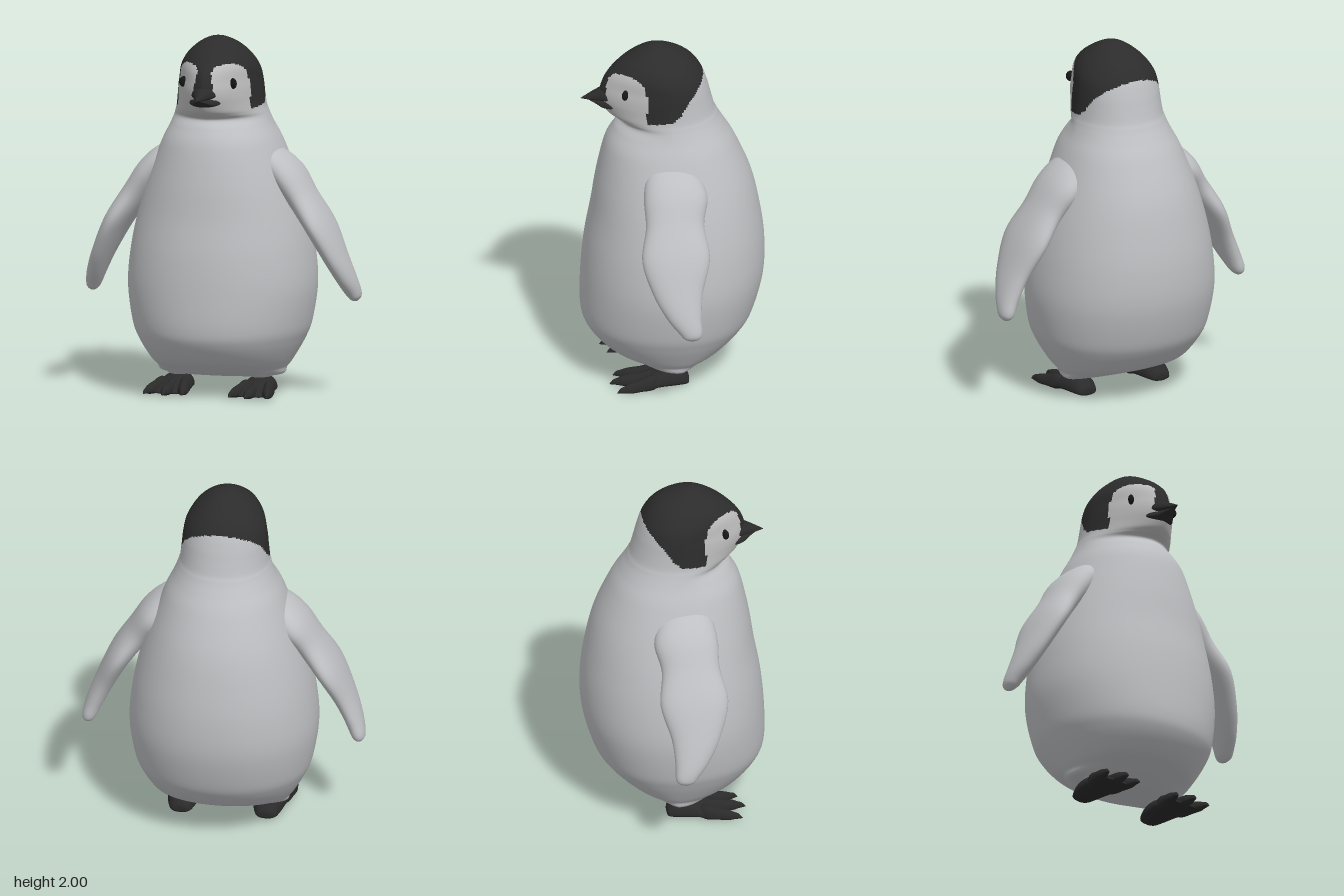
import * as THREE from 'three';

const { smoothstep, mapLinear } = THREE.MathUtils;
const mat = (name, color) => Object.assign(new THREE.MeshStandardMaterial({ color }), { name });

// Catmull-Rom rows of numbers into k finer steps per interval
function refine(rows, k) {
  const out = [];
  for (let i = 0; i < rows.length - 1; i++) {
    const a = rows[Math.max(i - 1, 0)], b = rows[i], c = rows[i + 1], d = rows[Math.min(i + 2, rows.length - 1)];
    for (let s = 0; s < k; s++) {
      const t = s / k;
      out.push(b.map((_, j) => b[j] + 0.5 * t * (c[j] - a[j] + t * (2 * a[j] - 5 * b[j] + 4 * c[j] - d[j]
        + t * (3 * (b[j] - c[j]) + d[j] - a[j])))));
    }
  }
  out.push(rows[rows.length - 1]);
  return out;
}

// Skin closed rings; classify(centre) picks a material index for each quad
function loft(rings, classify) {
  const n = rings[0].length, buckets = [[], [], []];
  for (let i = 0; i < rings.length - 1; i++) {
    for (let j = 0; j < n; j++) {
      const k = (j + 1) % n, a = i * n + j, b = i * n + k, c = a + n, d = b + n;
      const mid = rings[i][j].clone().add(rings[i + 1][k]).multiplyScalar(0.5);
      buckets[classify ? classify(mid) : 0].push(a, b, d, a, d, c);
    }
  }
  const geo = new THREE.BufferGeometry().setFromPoints(rings.flat());
  geo.setIndex(buckets.flat());
  if (classify) {
    let start = 0;
    buckets.forEach((b, m) => { geo.addGroup(start, b.length, m); start += b.length; });
  }
  geo.computeVertexNormals();
  return geo;
}

const ring = (n, fn) => Array.from({ length: n }, (_, j) => {
  const a = j / n * Math.PI * 2;
  return fn(Math.cos(a), Math.sin(a));
});
const pw = (v, e) => Math.sign(v) * Math.abs(v) ** e;

// Sections along z: [z, half width, top y, bottom y], centred on x = centre(z)
const loftZ = (rows, centre = () => 0, n = 24) => loft(refine(rows, 5).map(([z, w, top, bot]) => {
  const mid = bot + 0.3 * (top - bot);
  return ring(n, (c, s) => new THREE.Vector3(centre(z) + w * c, mid + s * (s > 0 ? top - mid : mid - bot), z));
}));

function mirrored(geo) {
  const g = geo.clone();
  g.scale(-1, 1, 1);
  const ix = g.index.array;
  for (let i = 0; i < ix.length; i += 3) [ix[i], ix[i + 1]] = [ix[i + 1], ix[i]];
  g.computeVertexNormals();
  return g;
}

// Body and head: [y, half width, front z, back z]
const BODY = [
  [0.095, 0, 0, 0], [0.1, 0.32, 0.15, -0.06], [0.15, 0.37, 0.3, -0.2], [0.2, 0.405, 0.4, -0.295],
  [0.3, 0.46, 0.485, -0.395], [0.4, 0.497, 0.513, -0.45], [0.6, 0.525, 0.509, -0.502], [0.8, 0.51, 0.49, -0.508],
  [1.0, 0.47, 0.455, -0.482], [1.2, 0.41, 0.425, -0.435], [1.4, 0.335, 0.38, -0.35], [1.5, 0.288, 0.33, -0.292],
  [1.55, 0.268, 0.292, -0.262], [1.58, 0.258, 0.335, -0.247], [1.61, 0.25, 0.372, -0.233], [1.68, 0.242, 0.406, -0.214],
  [1.75, 0.235, 0.405, -0.196], [1.83, 0.218, 0.37, -0.168], [1.9, 0.175, 0.298, -0.122], [1.95, 0.122, 0.222, -0.06],
  [1.98, 0.075, 0.165, 0.01], [1.995, 0.035, 0.125, 0.055], [2, 0, 0.09, 0.09],
];

// The sections turn from round at the trunk to wedge-shaped at the face, and back at the crown
function bodyRing([y, w, zf, zb]) {
  const headward = smoothstep(y, 1.4, 1.66), crown = smoothstep(y, 1.76, 1.98);
  const zc = 0.04 * headward + 0.05 * crown, front = 2.1 - 0.6 * headward + 0.5 * crown;
  return ring(128, (c, s) => {
    const e = 2 / (s < 0 ? front : 2.1);
    return new THREE.Vector3(w * pw(c, e), y, zc + Math.abs(pw(s, e)) * ((s < 0 ? zf : zb) - zc));
  });
}

// Lower edge of the dark hood: [z, y]
const HOOD = [[-0.3, 1.9], [-0.17, 1.83], [-0.07, 1.735], [-0.02, 1.66], [0.02, 1.625], [0.2, 1.6], [0.6, 1.6]];
function hoodEdge(z) {
  const i = Math.max(1, HOOD.findIndex(p => p[0] > z)), [a, b] = [HOOD[i - 1], HOOD[i]];
  return mapLinear(z, a[0], b[0], a[1], b[1]);
}
function plumage({ y, z }) {
  const patch = Math.abs((z - 0.27) / 0.108) ** 2.7 + Math.abs((y - 1.725) / 0.14) ** 2.7 < 1;
  const chin = y < 1.69 && y > 1.56 && z > 0.165;
  if (patch || chin) return 2;
  return y > hoodEdge(z) ? 1 : 0;
}

// Flipper: [centre x, centre y, half thickness, front z, back z]
const FLIPPER = [
  [0.22, 1.4, 0.02, 0.1, -0.05], [0.3, 1.32, 0.07, 0.18, -0.11], [0.39, 1.225, 0.085, 0.205, -0.15],
  [0.48, 1.1, 0.076, 0.205, -0.12], [0.585, 0.945, 0.068, 0.238, -0.14], [0.67, 0.775, 0.058, 0.185, -0.09],
  [0.725, 0.65, 0.05, 0.115, -0.077], [0.755, 0.57, 0.04, 0.05, -0.078], [0.764, 0.538, 0.024, 0.02, -0.06],
  [0.768, 0.525, 0, -0.02, -0.02],
];
function flipperGeometry() {
  const rows = refine(FLIPPER, 6);
  return loft(rows.map(([x, y, th, zf, zb], i) => {
    const p = rows[Math.max(i - 1, 0)], q = rows[Math.min(i + 1, rows.length - 1)];
    const t = new THREE.Vector2(q[0] - p[0], q[1] - p[1]).normalize();
    return ring(36, (c, s) => new THREE.Vector3(x - t.y * th * c, y + t.x * th * c, (zf + zb) / 2 + (zf - zb) / 2 * pw(s, 0.9)));
  }));
}

function ellipsoid(rx, ry, rz, turn, x, y, z) {
  return new THREE.SphereGeometry(1, 32, 20).scale(rx, ry, rz).rotateY(turn).translate(x, y, z);
}

export function createModel() {
  const down = mat('greyDown', 0xbebfc2), hood = mat('blackHood', 0x2c2c2c);
  const face = mat('paleFace', 0xbdbdbd), horn = mat('darkHorn', 0x2a2a2b), eye = mat('eyeBlack', 0x161616);
  const model = new THREE.Group();
  const add = (name, geo, material, parent = model) => {
    const m = new THREE.Mesh(geo, material);
    m.name = name;
    parent.add(m);
  };

  // Body and head in one skin, coloured by plumage region
  add('bodyAndHead', loft(refine(BODY, 10).map(bodyRing), plumage), [down, hood, face]);

  // Beak
  add('upperBeak', loftZ([[0.3, 0.07, 1.75, 1.68], [0.37, 0.07, 1.752, 1.675], [0.42, 0.045, 1.735, 1.675],
    [0.47, 0.022, 1.71, 1.678], [0.515, 0, 1.685, 1.685]]), horn);
  add('lowerBeak', loftZ([[0.28, 0.09, 1.7, 1.65], [0.35, 0.088, 1.695, 1.635], [0.395, 0.06, 1.688, 1.635],
    [0.43, 0.035, 1.685, 1.655], [0.48, 0, 1.68, 1.68]]), horn);

  // Foot: a flat-bottomed sole and three splayed toes with pointed claws
  const sole = loftZ([[-0.062, 0, 0.03, 0.03], [-0.055, 0.05, 0.06, 0.005], [0, 0.075, 0.1, 0], [0.08, 0.09, 0.105, 0],
    [0.16, 0.1, 0.075, 0], [0.23, 0.1, 0.045, 0], [0.275, 0.085, 0.022, 0.004], [0.285, 0, 0.01, 0.01]], () => 0.24);
  const toes = [-0.09, 0, 0.1].map(splay => {
    const far = splay === 0 ? 0.03 : 0;
    return loftZ([[0.08, 0, 0.04, 0.04], [0.14, 0.032, 0.085, 0], [0.21, 0.033, 0.07, 0], [0.27 + far, 0.03, 0.058, 0],
      [0.305 + far, 0.019, 0.045, 0.005], [0.33 + far, 0.012, 0.036, 0.008], [0.352 + far, 0, 0.01, 0.01]],
    z => 0.24 + splay * (0.35 + 2.3 * z), 16);
  });
  const flipper = flipperGeometry();
  const leg = ellipsoid(0.105, 0.095, 0.13, 0, 0.235, 0.175, 0.05);
  const eyeball = ellipsoid(0.016, 0.03, 0.027, 0.95, 0.143, 1.76, 0.28);

  // Paired parts
  for (const [side, shape] of [['left', g => g], ['right', mirrored]]) {
    add(side + 'Flipper', shape(flipper), down);
    add(side + 'Leg', shape(leg), down);
    add(side + 'Eye', shape(eyeball), eye);
    const foot = new THREE.Group();
    foot.name = side + 'Foot';
    model.add(foot);
    add('sole', shape(sole), horn, foot);
    toes.forEach(t => add('toe', shape(t), horn, foot));
  }
  return model;
}
